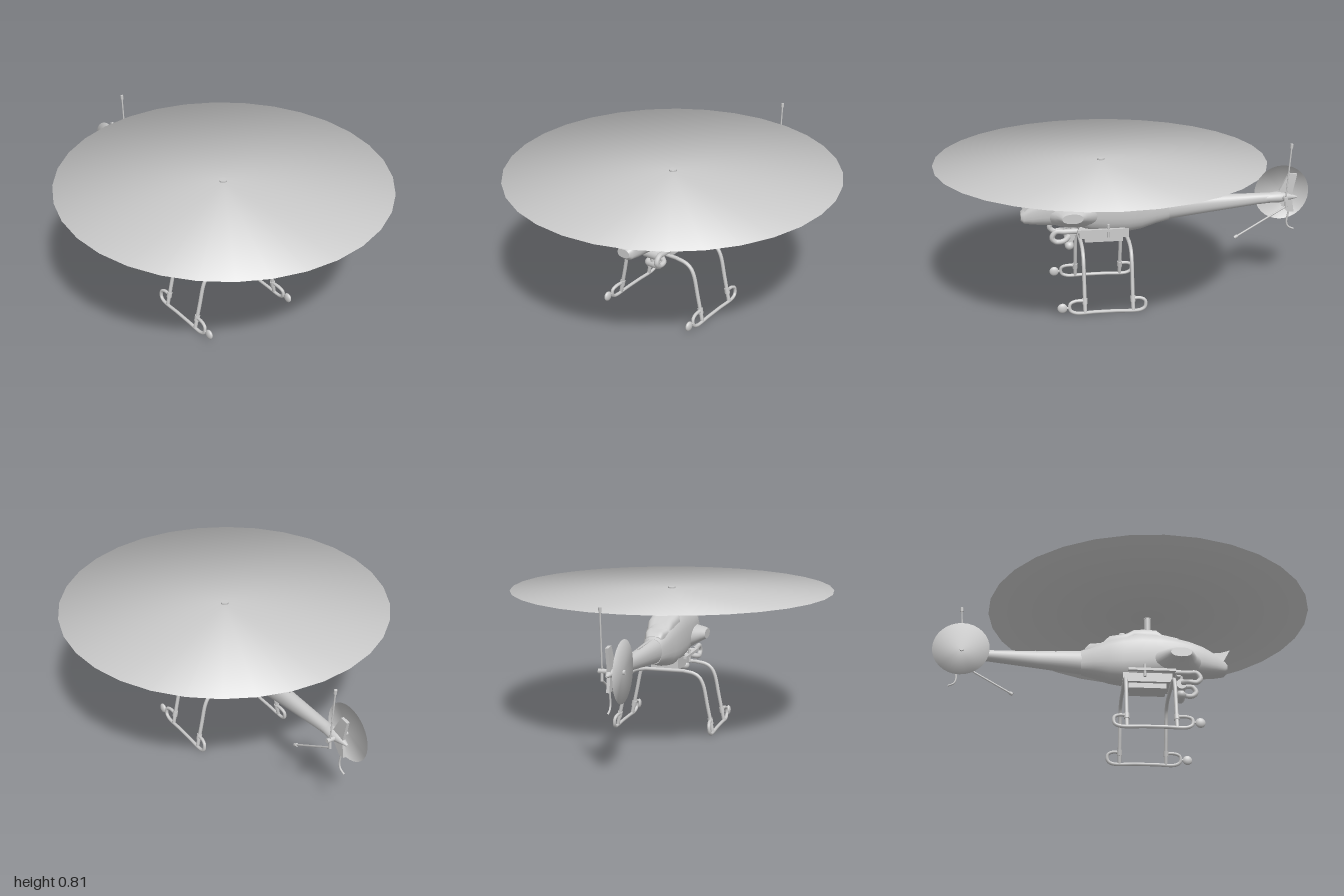
import * as THREE from 'three';

const grey = new THREE.MeshStandardMaterial({ color: 0xcccccc });
const thin = new THREE.MeshStandardMaterial({ color: 0xcccccc, side: THREE.DoubleSide });
const V = (x, y, z) => new THREE.Vector3(x, y, z);

function add(parent, name, geometry, x = 0, y = 0, z = 0, material = grey) {
  const mesh = new THREE.Mesh(geometry, material);
  mesh.name = name;
  mesh.position.set(x, y, z);
  parent.add(mesh);
  return mesh;
}

// Skin a list of equal-length rings and close both ends
function loft(rings) {
  const n = rings[0].length, pos = [], idx = [];
  rings.forEach(r => r.forEach(p => pos.push(p.x, p.y, p.z)));
  for (let i = 0; i < rings.length - 1; i++) for (let j = 0; j < n; j++) {
    const a = i * n + j, b = i * n + (j + 1) % n;
    idx.push(a, a + n, b + n, a, b + n, b);
  }
  [rings[0], rings[rings.length - 1]].forEach((r, end) => {
    const base = pos.length / 3, c = V(0, 0, 0);
    r.forEach(p => { c.addScaledVector(p, 1 / n); pos.push(p.x, p.y, p.z); });
    pos.push(c.x, c.y, c.z);
    for (let j = 0; j < n; j++) {
      const k = (j + 1) % n;
      idx.push(base + n, base + (end ? k : j), base + (end ? j : k));
    }
  });
  const g = new THREE.BufferGeometry();
  g.setAttribute('position', new THREE.Float32BufferAttribute(pos, 3));
  g.setIndex(idx);
  g.computeVertexNormals();
  return g;
}

// Superellipse ring points as [cos, sin] pairs; a higher power is boxier
function oval(power, n = 28) {
  const f = v => Math.sign(v) * Math.abs(v) ** (2 / power);
  return Array.from({ length: n }, (_, j) => {
    const a = j / n * Math.PI * 2;
    return [f(Math.cos(a)), f(Math.sin(a))];
  });
}

// Body along x: each station is [x, bottom, top, halfWidth]
const hull = (stations, power) => loft(stations.map(([x, b, t, w]) =>
  oval(power).map(([c, s]) => V(x, (b + t) / 2 + s * (t - b) / 2, c * w))));

const tube = (points, r, closed = false, steps = 40) => new THREE.TubeGeometry(
  new THREE.CatmullRomCurve3(points.map(p => V(...p)), closed, 'centripetal'), steps, r, 8, closed);

function rod(parent, name, a, b, r) {
  const A = V(...a), B = V(...b), d = B.clone().sub(A);
  const m = add(parent, name, new THREE.CylinderGeometry(r, r, d.length(), 10));
  m.position.copy(A).add(B).multiplyScalar(0.5);
  m.quaternion.setFromUnitVectors(V(0, 1, 0), d.normalize());
  return m;
}

function plate(points, depth) {
  const g = new THREE.ExtrudeGeometry(new THREE.Shape(points.map(p => new THREE.Vector2(...p))),
    { depth, bevelEnabled: false });
  return g.translate(0, 0, -depth / 2);
}

// Spinning-blade disc with normals that lean outward toward the rim
function rotorDisc(radius) {
  const g = new THREE.CircleGeometry(radius, 32);
  const p = g.attributes.position, n = g.attributes.normal;
  for (let i = 0; i < p.count; i++) {
    const v = V(p.getX(i) / radius, p.getY(i) / radius, 1).normalize();
    n.setXYZ(i, v.x, v.y, v.z);
  }
  return g;
}

export function createModel() {
  const model = new THREE.Group();
  model.name = 'unmannedHelicopter';

  // Fuselage, upper cowl and tail boom
  add(model, 'fuselage', hull([
    [-0.22, 0.41, 0.54, 0.05], [-0.15, 0.395, 0.57, 0.068], [-0.07, 0.37, 0.61, 0.085],
    [0, 0.36, 0.63, 0.095], [0.1, 0.36, 0.645, 0.1], [0.2, 0.375, 0.64, 0.1], [0.27, 0.405, 0.625, 0.098],
    [0.36, 0.412, 0.605, 0.088], [0.43, 0.414, 0.58, 0.076], [0.5, 0.418, 0.54, 0.06],
    [0.545, 0.425, 0.5, 0.046], [0.56, 0.44, 0.485, 0.035]], 2.6));
  add(model, 'engineCowl', hull([
    [-0.2, 0.5, 0.55, 0.04], [-0.175, 0.5, 0.576, 0.05], [-0.11, 0.5, 0.58, 0.06], [-0.07, 0.5, 0.62, 0.07],
    [0.02, 0.5, 0.635, 0.08], [0.06, 0.5, 0.665, 0.062], [0.11, 0.5, 0.673, 0.055],
    [0.18, 0.5, 0.67, 0.055], [0.21, 0.5, 0.642, 0.065], [0.3, 0.5, 0.625, 0.055]], 4));
  add(model, 'tailBoom', hull([
    [-0.84, 0.48, 0.53, 0.026], [-0.7, 0.47, 0.53, 0.03], [-0.45, 0.44, 0.532, 0.038],
    [-0.2, 0.41, 0.54, 0.052], [-0.1, 0.4, 0.56, 0.065]], 2.2));
  rod(model, 'tailControlRod', [-0.46, 0.535, 0], [-0.18, 0.537, 0], 0.004);
  add(model, 'noseLip', plate([[0.49, 0.47], [0.54, 0.495], [0.575, 0.56], [0.53, 0.545], [0.49, 0.54]], 0.075));
  add(model, 'fillerCap', new THREE.SphereGeometry(0.022, 16, 10), 0, 0.643, 0).scale.y = 0.8;

  // Tapered side sponsons
  for (const side of [1, -1]) {
    const sponson = loft([[0.06, 0.26, 0.17, 0.472, 0.066], [0.1, 0.28, 0.11, 0.478, 0.05],
      [0.135, 0.295, 0.075, 0.483, 0.036], [0.156, 0.3, 0.055, 0.484, 0.026]].map(([z, x, rx, y, ry]) =>
      oval(2.2, 20).map(([c, s]) => V(x - c * rx, y + s * ry, z))));
    add(model, 'sponson', sponson).scale.z = side;
  }

  // Main rotor
  add(model, 'mast', new THREE.CylinderGeometry(0.018, 0.018, 0.12, 16), 0.137, 0.7, 0);
  add(model, 'rotorHub', new THREE.CylinderGeometry(0.02, 0.02, 0.014, 16), 0.137, 0.753, 0);
  add(model, 'mainRotorDisc', rotorDisc(0.86), 0.14, 0.752, 0, thin).rotation.x = -Math.PI / 2;

  // Tail gearbox, fin, rotor and antennas
  const tail = new THREE.Group();
  tail.name = 'tail';
  model.add(tail);
  add(tail, 'tailGearbox', hull([[-0.92, 0.495, 0.505, 0.006], [-0.87, 0.485, 0.525, 0.022],
    [-0.82, 0.475, 0.535, 0.036], [-0.77, 0.475, 0.53, 0.03], [-0.72, 0.475, 0.528, 0.028]], 2));
  add(tail, 'tailFin', plate([[-0.77, 0.5], [-0.82, 0.54], [-0.87, 0.635], [-0.915, 0.63],
    [-0.89, 0.51], [-0.905, 0.42], [-0.87, 0.42], [-0.82, 0.48]], 0.016));
  rod(tail, 'tailRotorShaft', [-0.845, 0.507, -0.065], [-0.845, 0.507, 0.065], 0.012);
  add(tail, 'tailRotorDisc', rotorDisc(0.15), -0.85, 0.512, 0.055, thin);
  rod(tail, 'antenna', [-0.846, 0.5, -0.047], [-0.867, 0.8, -0.047], 0.004);
  rod(tail, 'antennaTip', [-0.8655, 0.785, -0.047], [-0.867, 0.808, -0.047], 0.008);
  rod(tail, 'tailStrut', [-0.85, 0.465, -0.047], [-0.578, 0.305, -0.047], 0.005);
  rod(tail, 'tailStrutTip', [-0.59, 0.312, -0.047], [-0.573, 0.302, -0.047], 0.009);
  rod(tail, 'antennaMount', [-0.847, 0.51, -0.047], [-0.85, 0.46, -0.047], 0.007);
  add(tail, 'tailSkid', tube([[-0.88, 0.43, 0], [-0.87, 0.36, 0], [-0.88, 0.335, 0], [-0.91, 0.32, 0]], 0.005));

  // Payload under the belly
  const payload = new THREE.Group();
  payload.name = 'payload';
  model.add(payload);
  add(payload, 'bellyTray', new THREE.BoxGeometry(0.26, 0.05, 0.15), 0.13, 0.37, 0);
  add(payload, 'bellyBox', new THREE.BoxGeometry(0.2, 0.045, 0.11), 0.13, 0.34, 0);
  add(payload, 'cameraMount', new THREE.CylinderGeometry(0.028, 0.028, 0.1, 20), 0.31, 0.35, 0).rotation.x = Math.PI / 2;
  rod(payload, 'cameraNeck', [0.305, 0.41, 0], [0.31, 0.3, 0], 0.02);
  add(payload, 'cameraPod', new THREE.CapsuleGeometry(0.024, 0.055, 6, 16), 0.31, 0.296, 0).rotation.x = Math.PI / 2;
  rod(payload, 'loopCrossTube', [0.29, 0.385, -0.09], [0.29, 0.385, 0.09], 0.014);
  for (const z of [-0.088, 0.088]) {
    add(payload, 'sideRail', new THREE.BoxGeometry(0.25, 0.014, 0.018), 0.15, 0.399, z * 1.2);
    rod(payload, 'railBracket', [0.112, 0.36, z * 1.2], [0.112, 0.43, z * 1.2], 0.007);
    rod(payload, 'railArm', [0.112, 0.398, z * 0.7], [0.112, 0.398, z * 1.2], 0.008);
    add(payload, 'frontLoop', tube([[0.27, 0.395, z], [0.34, 0.395, z], [0.385, 0.395, z], [0.405, 0.365, z],
      [0.385, 0.342, z], [0.345, 0.344, z], [0.315, 0.355, z * 0.6]], 0.014));
  }

  // Landing gear
  const gear = new THREE.Group();
  gear.name = 'landingGear';
  model.add(gear);
  for (const x of [0.005, 0.255]) rod(gear, 'crossTube', [x, 0.333, -0.11], [x, 0.333, 0.11], 0.01);
  for (const side of [1, -1]) {
    const half = new THREE.Group();
    half.name = side > 0 ? 'frontSideGear' : 'backSideGear';
    half.scale.z = side;
    gear.add(half);
    for (const x of [0.005, 0.255]) {
      add(half, 'leg', tube([[x, 0.333, 0.1], [x, 0.322, 0.16], [x, 0.303, 0.19],
        [x, 0.265, 0.211], [x, 0.15, 0.236], [x, 0.012, 0.265]], 0.01));
      rod(half, 'legClamp', [x, 0.055, 0.256], [x, 0.085, 0.25], 0.014);
    }
    add(half, 'skid', tube([[0.005, 0.073, 0.254], [-0.035, 0.073, 0.256], [-0.058, 0.06, 0.26], [-0.058, 0.028, 0.263],
      [-0.035, 0.012, 0.265], [0.1, 0.012, 0.265], [0.2, 0.012, 0.265], [0.305, 0.012, 0.265],
      [0.332, 0.028, 0.263], [0.332, 0.06, 0.26], [0.305, 0.073, 0.256], [0.255, 0.073, 0.254]], 0.009, false, 90));
    rod(half, 'skidLampStem', [0.33, 0.04, 0.262], [0.37, 0.04, 0.262], 0.006);
    add(half, 'skidLamp', new THREE.SphereGeometry(0.026, 18, 12), 0.372, 0.04, 0.262).scale.z = 0.5;
  }
  return model;
}
